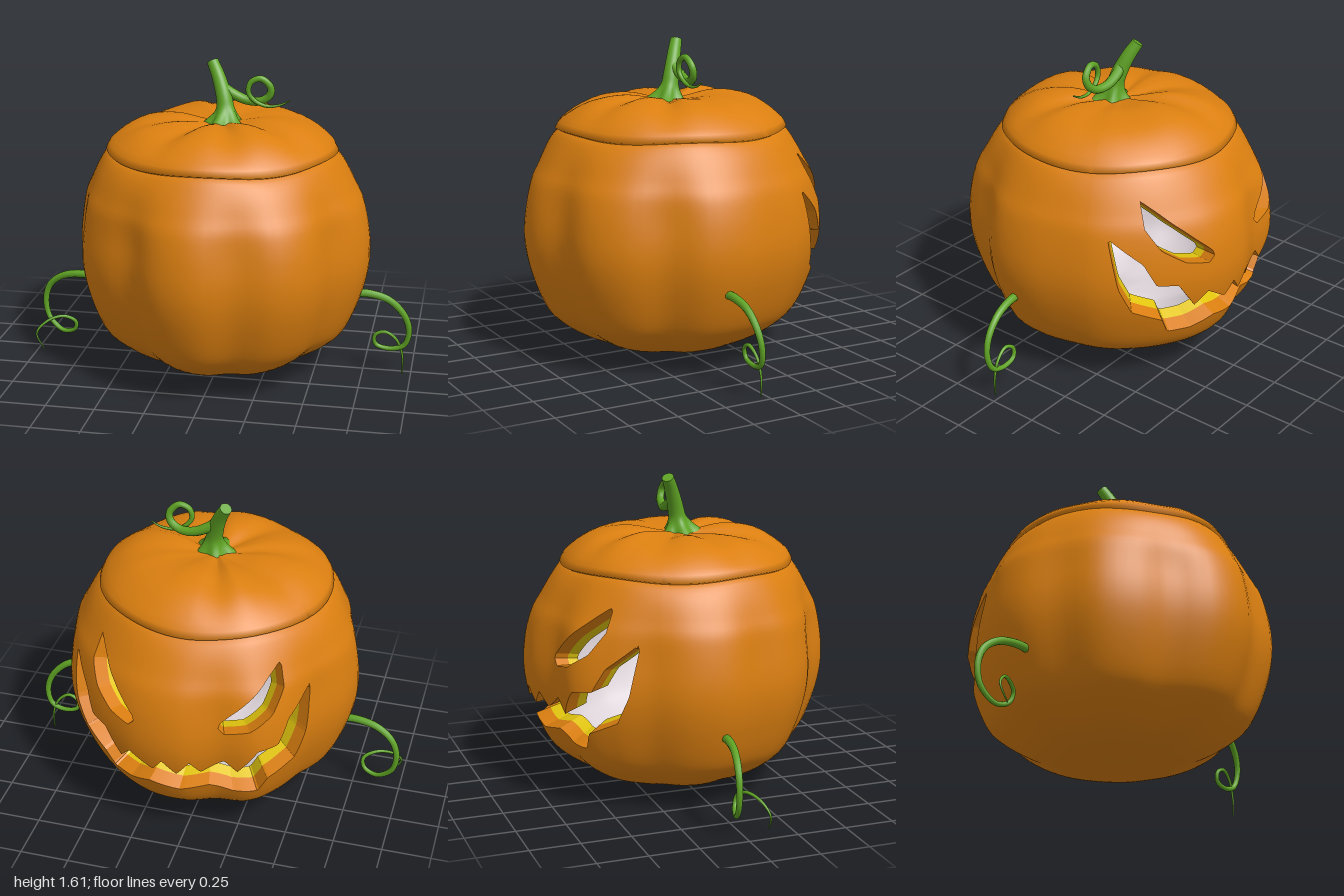
import * as THREE from 'three';
import { mergeVertices } from 'three/addons/utils/BufferGeometryUtils.js';

const material = (name, color, side = THREE.FrontSide) => {
  const m = new THREE.MeshStandardMaterial({ color, side });
  m.name = name;
  return m;
};
const skin = material('orange skin', 0xdb7f10);
const flesh = material('yellow flesh', 0xe3c60f);
const hollow = material('pale inside', 0xdcd3d8);
const green = material('stem green', 0x5fa324, THREE.DoubleSide);

const V = (x, y, z) => new THREE.Vector3(x, y, z);
const RAD = Math.PI / 180;
const CENTRE = V(0, 0.65, 0);
const INNER = 0.82, MIDDLE = 0.9;

// Lobed outline: radius every 15 degrees, from +x towards +z
const LOBES = [.77, .77, .72, .77, .78, .73, .775, .76, .69, .72, .74, .715,
  .75, .745, .715, .75, .785, .74, .78, .79, .775, .765, .765, .755];
function lobe(deg) {
  const f = (((deg % 360) + 360) % 360) / 15, i = Math.floor(f), t = f - i;
  const [a, b, c, d] = [-1, 0, 1, 2].map(k => LOBES[(i + k + 24) % 24]);
  return b + 0.5 * t * (c - a + t * (2 * a - 5 * b + 4 * c - d + t * (3 * (b - c) + d - a)));
}

const profile = (pts, n) =>
  new THREE.SplineCurve(pts.map(p => new THREE.Vector2(...p))).getSpacedPoints(n);
const BODY = profile([[0, .08], [.12, .06], [.27, .05], [.43, .1], [.585, .2], [.66, .3], [.73, .5],
  [.75, .68], [.72, .9], [.68, 1], [.63, 1.1], [.58, 1.165], [.53, 1.18]], 66);
const LID = profile([[.56, 1.16], [.588, 1.168], [.58, 1.2], [.5, 1.265], [.4, 1.31], [.25, 1.33],
  [.1, 1.315], [0, 1.31]], 18);

// Point on the pumpkin, with ribs fading towards the lid
function surface(deg, { x: r, y }) {
  const rib = lobe(deg) / 0.75 - 1;
  const k = 1 - 0.88 * THREE.MathUtils.smoothstep(y, 0.78, 1.17);
  const rr = Math.max(0, r) * (1 + k * rib);
  const wave = 0.007 * Math.sin(5 * deg * RAD) * Math.exp(-(((y - 1.17) / 0.05) ** 2));
  const ridge = y > 1.17 ? 0.35 * rib * Math.sin(Math.PI * Math.min(1, r / 0.58)) : 0;
  return V(rr * Math.cos(deg * RAD), y + wave + ridge, rr * Math.sin(deg * RAD));
}

// Carved openings as [degrees around from the back, height]
const eye = [[43, 1.06], [42, .94], [36, .83], [27, .755], [18, .73], [15, .77], [19, .82], [27, .91], [36, 1.0]];
const upper = [[56, .9], [50, .84], [43, .77], [38, .65], [30, .64], [23, .5], [18, .57], [9, .49], [5, .56], [0, .48]];
const lower = [[0, .35], [12, .38], [22, .34], [32, .34], [35, .43], [47, .5], [52, .64]];
const flip = pts => pts.map(([a, y]) => [-a, y]).reverse();
const HOLES = [eye, flip(eye), [...upper, ...flip(upper).slice(1), ...flip(lower), ...lower.slice(1)]]
  .map(h => h.map(([a, y]) => [a * RAD * 0.75, y]));

// Signed distance to the openings, negative inside
function carve(deg, y) {
  const px = (270 - deg) * RAD * 0.75;
  if (Math.abs(px) > 0.82) return 1;
  let best = 1, inside = false;
  for (const h of HOLES) {
    h.forEach(([bx, by], i) => {
      const [ax, ay] = h[(i + h.length - 1) % h.length];
      const ex = bx - ax, ey = by - ay;
      const t = THREE.MathUtils.clamp(((px - ax) * ex + (y - ay) * ey) / (ex * ex + ey * ey), 0, 1);
      best = Math.min(best, Math.hypot(px - ax - t * ex, y - ay - t * ey));
      if ((ay > y) !== (by > y) && px < ax + (y - ay) / ey * ex) inside = !inside;
    });
  }
  return inside ? -best : best;
}

// Columns are finer across the carved face
const COLUMNS = [];
for (let a = 206; a < 334; a++) COLUMNS.push(a);
for (let a = 334; a <= 566; a += 4) COLUMNS.push(a);

const inset = (p, s) => p.clone().sub(CENTRE).multiplyScalar(s).add(CENTRE);

// Triangles of a lofted skin, clipped along the openings; also returns the cut edges
function loft(rows, carved) {
  const tris = [], cuts = [];
  const grid = COLUMNS.map(a => rows.map(q => ({ p: surface(a, q), s: carved ? carve(a, q.y) : 1 })));
  const clip = tri => {
    const poly = [];
    let exit, entry;
    tri.forEach((a, i) => {
      const b = tri[(i + 1) % 3];
      if (a.s > 0) poly.push(a.p);
      if ((a.s > 0) !== (b.s > 0)) {
        const [m, n] = a.s > 0 ? [a, b] : [b, a];
        const p = m.p.clone().lerp(n.p, m.s / (m.s - n.s));
        poly.push(p);
        if (a.s > 0) exit = p; else entry = p;
      }
    });
    for (let i = 2; i < poly.length; i++) tris.push(poly[0], poly[i - 1], poly[i]);
    if (exit) cuts.push([exit, entry]);
  };
  for (let i = 0; i + 1 < grid.length; i++) {
    for (let j = 0; j + 1 < rows.length; j++) {
      const a = grid[i][j], b = grid[i][j + 1], c = grid[i + 1][j + 1], d = grid[i + 1][j];
      clip([a, b, c]);
      clip([a, c, d]);
    }
  }
  return { tris, cuts };
}

function build(name, points, mat, smooth = true) {
  let g = new THREE.BufferGeometry().setFromPoints(points);
  if (smooth) g = mergeVertices(g, 1e-5);
  g.computeVertexNormals();
  const mesh = new THREE.Mesh(g, mat);
  mesh.name = name;
  return mesh;
}
const inside = tris => tris.map(p => inset(p, INNER)).reverse();
const wall = (cuts, s, e) => cuts.flatMap(([a, b]) => {
  const [a0, b0, a1, b1] = [inset(a, s), inset(b, s), inset(a, e), inset(b, e)];
  return [b0, a0, a1, b0, a1, b1];
});

// Closed tube from rings around a curve; radius(t, angle) shapes each ring
function stalk(name, curve, steps, sides, radius) {
  const frames = curve.computeFrenetFrames(steps), rings = [], pts = [];
  for (let i = 0; i <= steps; i++) {
    const c = curve.getPointAt(i / steps);
    rings.push(Array.from({ length: sides }, (_, j) => {
      const a = j / sides * 2 * Math.PI, r = radius(i / steps, a);
      return c.clone().addScaledVector(frames.normals[i], r * Math.cos(a))
        .addScaledVector(frames.binormals[i], r * Math.sin(a));
    }));
  }
  for (let i = 0; i < steps; i++) {
    for (let j = 0; j < sides; j++) {
      const k = (j + 1) % sides;
      const [a, b, c, d] = [rings[i][j], rings[i][k], rings[i + 1][k], rings[i + 1][j]];
      pts.push(a, b, c, a, c, d);
    }
  }
  const part = new THREE.Group();
  part.name = name;
  const cap = [], last = rings[steps];
  for (let j = 1; j + 1 < sides; j++) cap.push(last[0], last[j], last[j + 1]);
  part.add(build(name + 'Side', pts, green), build(name + 'Tip', cap, green, false));
  return part;
}
const path = pts => new THREE.CatmullRomCurve3(pts.map(p => V(...p)));
const tendril = (name, pts, r) =>
  stalk(name, path(pts), 90, 10, t => 0.003 + (r - 0.003) * (1 - t) ** 0.8);

export function createModel() {
  const model = new THREE.Group();
  model.name = 'carvedPumpkin';

  // Hollow body with carved eyes and mouth
  const body = loft(BODY, true), lid = loft(LID, false);
  model.add(
    build('body', body.tris, skin),
    build('bodyInside', inside(body.tris), hollow),
    build('carvedRim', wall(body.cuts, 1, MIDDLE), skin, false),
    build('carvedFlesh', wall(body.cuts, MIDDLE, INNER), flesh, false),
    build('lid', lid.tris, skin),
    build('lidInside', inside(lid.tris), hollow));

  // Stem with a five-pointed flared foot
  model.add(stalk('stem', path([[.02, 1.3, .025], [.02, 1.36, .015], [.01, 1.43, .0], [-.025, 1.53, -.035],
    [-.062, 1.6, -.068]]), 24, 30, (t, a) => {
    const flare = Math.max(0, 1 - t * 3.2) ** 1.8;
    return 0.048 - 0.018 * t + flare * (0.05 + 0.022 * Math.cos(5 * a));
  }));

  // Curling tendrils
  model.add(
    tendril('stemTendril', [[-.01, 1.49, -.01], [.05, 1.45, -.02], [.12, 1.42, -.02], [.19, 1.418, -.01],
      [.24, 1.45, .0], [.248, 1.495, .01], [.2, 1.54, .02], [.15, 1.52, .025], [.138, 1.47, .025],
      [.17, 1.425, .02], [.23, 1.4, .015], [.29, 1.405, .01], [.345, 1.43, .01]], .028),
    tendril('leftTendril', [[.7, .46, .08], [.78, .458, .075], [.88, .425, .065], [.96, .34, .055],
      [.985, .25, .045], [.96, .17, .035], [.89, .145, .03], [.815, .165, .03], [.81, .215, .035],
      [.86, .24, .04], [.92, .2, .035], [.955, .11, .03], [.955, .01, .03]], .022),
    tendril('rightTendril', [[-.66, .42, 0], [-.76, .43, -.01], [-.87, .41, -.025], [-.95, .35, -.04],
      [-.98, .26, -.045], [-.96, .16, -.04], [-.88, .095, -.02], [-.81, .115, 0], [-.8, .165, .015],
      [-.86, .2, .04], [-.94, .18, .08], [-.99, .12, .11], [-.95, .04, .12]], .022));
  return model;
}
